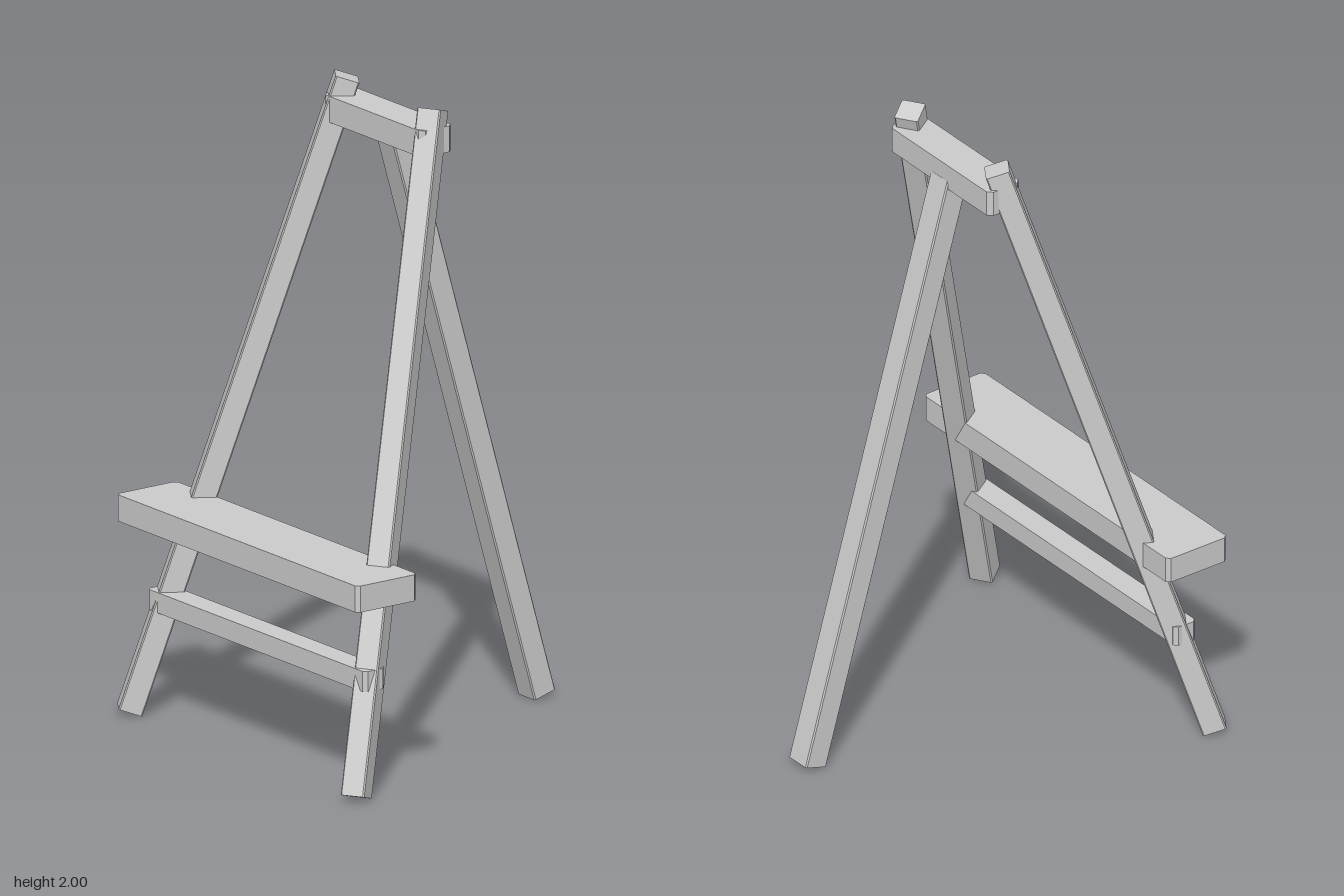
import * as THREE from 'three';

const grey = new THREE.MeshStandardMaterial({ color: 0xcccccc });
grey.name = 'light grey';

// Prism with a chamfered rectangular section, extruded along z and centred
function chamferedPrism(w, h, length, c) {
  const x = w / 2, y = h / 2;
  const shape = new THREE.Shape([
    [x - c, -y], [x, -y + c], [x, y - c], [x - c, y],
    [-x + c, y], [-x, y - c], [-x, -y + c], [-x + c, -y],
  ].map(([a, b]) => new THREE.Vector2(a, b)));
  const geo = new THREE.ExtrudeGeometry(shape, { depth: length, bevelEnabled: false });
  return geo.translate(0, 0, -length / 2);
}

// Leg between two end centres, its section turned to follow the lean
function leg(name, bottom, top, width, depth) {
  const a = new THREE.Vector3(...bottom), b = new THREE.Vector3(...top);
  const along = b.clone().sub(a);
  const length = along.length();
  along.normalize();
  const side = new THREE.Vector3(0, 1, 0).cross(along).normalize();
  const out = along.clone().cross(side);
  const geo = chamferedPrism(width, depth, length, 0.004);
  geo.applyMatrix4(new THREE.Matrix4().makeBasis(side, out, along));
  const mesh = new THREE.Mesh(geo, grey);
  mesh.position.copy(a).add(b).multiplyScalar(0.5);
  mesh.name = name;
  return mesh;
}

// Horizontal board with chamfered upright corners
function board(name, width, height, depth, y, z, chamfer) {
  const geo = chamferedPrism(width, depth, height, chamfer).rotateX(-Math.PI / 2);
  const mesh = new THREE.Mesh(geo, grey);
  mesh.position.set(0, y, z);
  mesh.name = name;
  return mesh;
}

export function createModel() {
  const easel = new THREE.Group();
  easel.name = 'easel';

  // Splayed front legs and the rear prop
  for (const [name, s] of [['leftFrontLeg', 1], ['rightFrontLeg', -1]]) {
    easel.add(leg(name, [s * 0.572, 0.012, 0.545], [s * 0.217, 1.988, -0.005], 0.075, 0.075));
  }
  easel.add(leg('backLeg', [0, 0.011, -0.555], [0, 1.87, -0.02], 0.087, 0.08));

  // Crosspieces and the canvas shelf
  easel.add(board('topBar', 0.5, 0.082, 0.12, 1.896, 0.002, 0.015));
  easel.add(board('shelf', 1.22, 0.083, 0.226, 0.643, 0.456, 0.012));
  easel.add(board('lowerRung', 1.1, 0.064, 0.08, 0.357, 0.457, 0.012));
  return easel;
}
